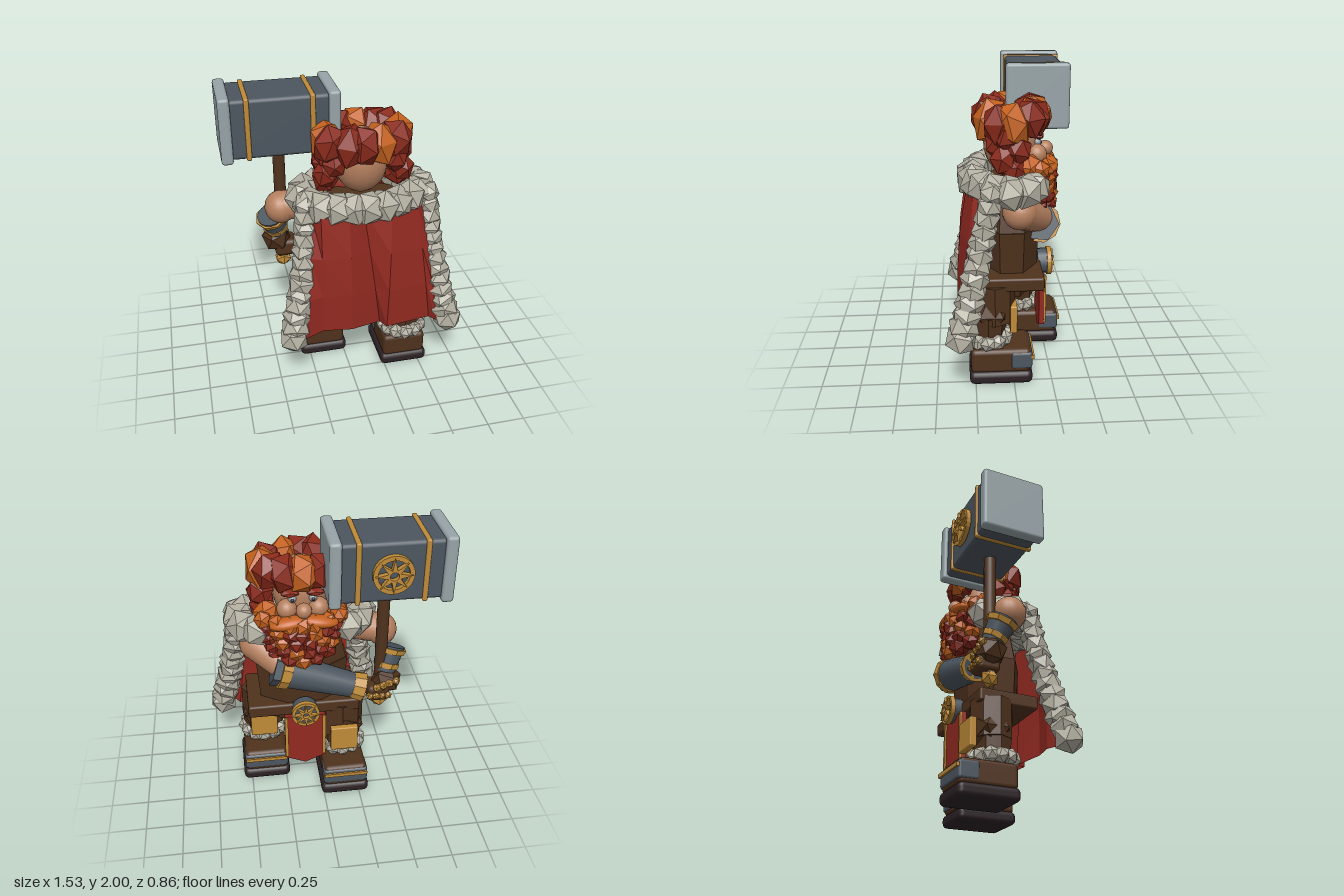
import * as THREE from 'three';
import { RoundedBoxGeometry } from 'three/addons/geometries/RoundedBoxGeometry.js';

const V = (x, y, z) => new THREE.Vector3(x, y, z);
const CX = 0.12; // body centre line

export function createModel() {
  const mat = (name, color, side = THREE.FrontSide) => {
    const m = new THREE.MeshStandardMaterial({ color, side });
    m.name = name;
    return m;
  };
  const red = mat('cloak red', 0x932a21, THREE.DoubleSide);
  const fur = mat('pale fur', 0xb3afa1);
  const steel = mat('dark steel', 0x4c5660);
  const silver = mat('light steel', 0x97a4a8);
  const gold = mat('gold', 0xbf8b38);
  const brown = mat('brown leather', 0x4f321d);
  const dark = mat('dark sole', 0x2c2124);
  const skin = mat('skin', 0xb5805f);
  const orange = mat('orange hair', 0xc4611e);
  const auburn = mat('auburn hair', 0x8a2a1b);

  const root = new THREE.Group();
  const group = (name, parent = root) => {
    const g = new THREE.Group();
    g.name = name;
    parent.add(g);
    return g;
  };
  const add = (parent, name, geo, m, x = 0, y = 0, z = 0) => {
    const mesh = new THREE.Mesh(geo, m);
    mesh.name = name;
    mesh.position.set(x, y, z);
    parent.add(mesh);
    return mesh;
  };
  const flat = (geo) => {
    const g = geo.index ? geo.toNonIndexed() : geo;
    g.computeVertexNormals();
    return g;
  };
  const box = (p, n, m, w, h, d, x, y, z) => add(p, n, new THREE.BoxGeometry(w, h, d), m, x, y, z);
  const soft = (p, n, m, w, h, d, x, y, z, r = 0.02) => add(p, n, new RoundedBoxGeometry(w, h, d, 2, r), m, x, y, z);
  const ball = (p, n, m, x, y, z, rx, ry = rx, rz = rx) => {
    const b = add(p, n, new THREE.SphereGeometry(1, 20, 14), m, x, y, z);
    b.scale.set(rx, ry, rz);
    return b;
  };
  // Tapered rod between two points
  const limb = (p, n, m, a, b, ra, rb, sides = 16) => {
    const geo = new THREE.CylinderGeometry(rb, ra, a.distanceTo(b), sides);
    const mid = a.clone().lerp(b, 0.5);
    const mesh = add(p, n, sides < 12 ? flat(geo) : geo, m, mid.x, mid.y, mid.z);
    mesh.quaternion.setFromUnitVectors(V(0, 1, 0), b.clone().sub(a).normalize());
    return mesh;
  };
  // Faceted tufts, each turned by a fixed seeded amount
  let seed = 7;
  const rnd = () => (seed = (seed * 16807) % 2147483647) / 2147483647;
  const tuft = (p, n, m, x, y, z, r, sy = 1) => {
    const t = add(p, n, new THREE.IcosahedronGeometry(r, 0), m, x, y, z);
    t.rotation.set(rnd() * 0.35, rnd() * 6.3, rnd() * 0.35);
    t.scale.y = sy;
    return t;
  };
  // Round badge: ring with an open eight-pointed star
  const badge = (p, n, r, x, y, z) => {
    const g = group(n, p);
    g.position.set(x, y, z);
    const ring = new THREE.Shape().absarc(0, 0, r, 0, Math.PI * 2);
    ring.holes.push(new THREE.Path().absarc(0, 0, r * 0.77, 0, Math.PI * 2, true));
    const star = new THREE.Shape();
    for (let i = 0; i < 16; i++) {
      const a = i * Math.PI / 8, q = r * (i % 2 ? 0.32 : 0.9);
      star[i ? 'lineTo' : 'moveTo'](Math.cos(a) * q, Math.sin(a) * q);
    }
    star.holes.push(new THREE.Path().absarc(0, 0, r * 0.22, 0, Math.PI * 2, true));
    const opt = (depth) => ({ depth, bevelEnabled: false, curveSegments: 12 });
    add(g, 'badgeRing', new THREE.ExtrudeGeometry(ring, opt(0.03)), gold, 0, 0, -0.015);
    add(g, 'badgeStar', new THREE.ExtrudeGeometry(star, opt(0.035)), gold, 0, 0, -0.03);
  };

  // War hammer
  const hammer = group('hammer');
  const HX = -0.39, HY = 1.78, HZ = -0.19;
  soft(hammer, 'hammerHead', steel, 0.64, 0.39, 0.37, HX, HY, HZ, 0.025);
  for (const s of [-1, 1]) {
    soft(hammer, 'hammerCap', silver, 0.075, 0.43, 0.42, HX + s * 0.342, HY, HZ);
    soft(hammer, 'hammerBand', gold, 0.032, 0.405, 0.39, HX + s * 0.205, HY, HZ, 0.01);
  }
  badge(hammer, 'hammerBadge', 0.125, HX, HY, -0.395);
  limb(hammer, 'handle', brown, V(HX, 0.74, HZ), V(HX, 1.62, HZ), 0.04, 0.04);
  add(hammer, 'pommel', new THREE.IcosahedronGeometry(0.06, 0), gold, HX, 0.725, HZ);

  // Legs and boots
  for (const [side, x, z] of [['left', 0.39, 0.085], ['right', -0.15, -0.145]]) {
    const leg = group(side + 'Leg');
    soft(leg, 'sole', dark, 0.335, 0.09, 0.41, x, 0.045, z, 0.035);
    soft(leg, 'boot', brown, 0.3, 0.165, 0.39, x, 0.16, z, 0.03);
    soft(leg, 'toePlate', steel, 0.31, 0.12, 0.14, x, 0.165, z - 0.133, 0.02);
    box(leg, 'toeBand', gold, 0.3, 0.026, 0.02, x, 0.19, z - 0.205);
    const shin = add(leg, 'shin', flat(new THREE.CylinderGeometry(0.15, 0.13, 0.24, 8)), brown, x, 0.34, z + 0.08);
    const thigh = add(leg, 'thigh', flat(new THREE.CylinderGeometry(0.16, 0.16, 0.26, 8)), brown, x * 0.96, 0.54, z * 0.85 + 0.05);
    const knee = add(leg, 'knee', new THREE.IcosahedronGeometry(0.17, 0), brown, x, 0.47, z + 0.06);
    shin.scale.z = thigh.scale.z = knee.scale.z = 0.85;
    for (let i = 0; i < 12; i++) {
      const a = i * Math.PI / 6;
      tuft(leg, 'bootFur', fur, x + Math.cos(a) * 0.13, 0.29, z + 0.085 + Math.sin(a) * 0.125, 0.056);
    }
    soft(leg, 'shinPlate', gold, 0.19, 0.19, 0.045, x, 0.43, z - 0.085, 0.008);
  }

  // Torso, belt and hanging cloth
  const body = group('body');
  const oct = (n, m, rt, rb, h, y, sx, sz) => {
    const t = add(body, n, flat(new THREE.CylinderGeometry(rt, rb, h, 8).rotateY(Math.PI / 8)), m, CX, y, 0.01);
    t.scale.set(sx, 1, sz);
  };
  oct('hips', brown, 0.2, 0.17, 0.14, 0.61, 1.6, 0.85);
  oct('belly', brown, 0.215, 0.2, 0.28, 0.86, 1.55, 0.95);
  oct('chest', brown, 0.17, 0.215, 0.28, 1.14, 1.5, 0.95);
  soft(body, 'belt', brown, 0.76, 0.09, 0.41, CX, 0.68, 0.01, 0.015);
  limb(body, 'buckleDisc', steel, V(CX, 0.69, -0.18), V(CX, 0.69, -0.262), 0.085, 0.085);
  badge(body, 'buckle', 0.095, CX, 0.69, -0.258);
  const cloth = new THREE.Shape([[-0.14, 0.64], [-0.14, 0.28], [0, 0.22], [0.14, 0.28], [0.14, 0.64]]
    .map(([x, y]) => new THREE.Vector2(x, y)));
  add(body, 'frontCloth', new THREE.ExtrudeGeometry(cloth, { depth: 0.035, bevelEnabled: false }), red, CX, 0, -0.22);
  for (const s of [-1, 1]) box(body, 'clothTrim', gold, 0.022, 0.34, 0.012, CX + s * 0.13, 0.465, -0.225);

  // Left arm, reaching across the body
  const leftArm = group('leftArm');
  ball(leftArm, 'shoulder', skin, 0.42, 1.14, -0.04, 0.11);
  limb(leftArm, 'upperArm', skin, V(0.42, 1.14, -0.04), V(0.25, 1.05, -0.18), 0.108, 0.1);
  const le = V(0.27, 1.02, -0.18), lw = V(-0.27, 0.85, -0.225);
  const alongL = (t) => le.clone().lerp(lw, t);
  limb(leftArm, 'gauntlet', steel, alongL(0.05), lw, 0.118, 0.08);
  limb(leftArm, 'elbowFlare', steel, alongL(-0.09), alongL(0.08), 0.125, 0.115, 6);
  limb(leftArm, 'elbowCuff', gold, alongL(0), alongL(0.11), 0.135, 0.125, 10);
  limb(leftArm, 'wristCuff', gold, alongL(0.86), alongL(1), 0.09, 0.1, 10);
  soft(leftArm, 'glove', brown, 0.15, 0.12, 0.15, -0.37, 0.82, -0.21, 0.03);

  // Right arm, gripping the handle from outside
  const rightArm = group('rightArm');
  limb(rightArm, 'upperArm', skin, V(-0.12, 1.24, 0), V(-0.4, 1.21, -0.06), 0.1, 0.1);
  ball(rightArm, 'elbow', skin, -0.41, 1.2, -0.06, 0.105, 0.11, 0.11);
  const re = V(-0.47, 1.11, -0.13), rw = V(-0.42, 0.95, -0.19);
  const alongR = (t) => re.clone().lerp(rw, t);
  limb(rightArm, 'gauntlet', steel, re, rw, 0.095, 0.07);
  limb(rightArm, 'elbowCuff', gold, alongR(0.08), alongR(0.28), 0.112, 0.102, 8);
  limb(rightArm, 'wristCuff', gold, alongR(0.65), alongR(0.85), 0.09, 0.085, 8);
  tuft(rightArm, 'glove', brown, -0.43, 0.89, -0.2, 0.105);
  for (let i = 0; i < 4; i++) {
    tuft(rightArm, 'knuckle', gold, -0.48 + i * 0.042, 0.92 - i * 0.015, -0.28, 0.03);
    tuft(leftArm, 'knuckle', gold, -0.43 + i * 0.04, 0.81, -0.28, 0.028);
  }

  // Cloak: folded panels as [top x, top z, bottom x, bottom z, bottom y]
  const folds = [[-0.31, 0.1, -0.42, 0.33, 0.42], [-0.25, 0.19, -0.33, 0.36, 0.4], [-0.2, 0.27, -0.2, 0.3, 0.4],
    [-0.02, 0.29, -0.01, 0.35, 0.42], [0.09, 0.22, 0.2, 0.28, 0.4], [0.26, 0.29, 0.23, 0.36, 0.41],
    [0.44, 0.25, 0.55, 0.3, 0.4], [0.49, 0.19, 0.59, 0.36, 0.4], [0.55, 0.1, 0.67, 0.33, 0.42]];
  const rows = 3, pts = [], idx = [];
  folds.forEach(([xt, zt, xb, zb, yb], c) => {
    for (let r = 0; r <= rows; r++) {
      const t = r / rows;
      pts.push(xt + (xb - xt) * t, 1.26 + (yb - 1.26) * t, zt + (zb - zt) * t + 0.025 * Math.sin(t * Math.PI));
      if (c && r) {
        const a = c * (rows + 1) + r, b = a - rows - 1;
        idx.push(b - 1, b, a, b - 1, a, a - 1);
      }
    }
  });
  const cape = new THREE.BufferGeometry();
  cape.setAttribute('position', new THREE.Float32BufferAttribute(pts, 3));
  cape.setIndex(idx);
  add(root, 'cloak', flat(cape), red);

  // Fur collar and cloak edging
  const furTrim = group('furTrim');
  const collar = new THREE.CatmullRomCurve3([V(-0.17, 1.3, -0.13), V(-0.25, 1.3, -0.07), V(-0.28, 1.3, 0.04),
    V(-0.2, 1.29, 0.16), V(0, 1.29, 0.235), V(0.24, 1.29, 0.235), V(0.42, 1.3, 0.16), V(0.52, 1.3, 0.04),
    V(0.49, 1.3, -0.07), V(0.41, 1.3, -0.12)]);
  collar.getSpacedPoints(14).forEach((p) => tuft(furTrim, 'collarFur', fur, p.x, p.y, p.z, 0.118));
  for (const s of [-1, 1]) {
    const edge = new THREE.CatmullRomCurve3([[0.41, 1.3, 0.14], [0.42, 1.08, 0.185], [0.455, 0.82, 0.24],
      [0.5, 0.6, 0.29], [0.54, 0.41, 0.34]].map(([x, y, z]) => V(CX + 0.01 + s * x, y, z)));
    edge.getSpacedPoints(12).forEach((p, i) => tuft(furTrim, 'edgeFur', fur, p.x, p.y, p.z, 0.084 + i * 0.0018));
  }

  // Head and face
  const head = group('head');
  ball(head, 'skull', skin, CX, 1.52, 0, 0.18, 0.22, 0.175);
  ball(head, 'nose', skin, CX, 1.475, -0.225, 0.05, 0.05, 0.05);
  for (const s of [-1, 1]) {
    const x = (d) => CX + s * d;
    ball(head, 'cheek', skin, x(0.1), 1.46, -0.16, 0.065);
    ball(head, 'eye', silver, x(0.065), 1.53, -0.165, 0.026);
    ball(head, 'pupil', dark, x(0.065), 1.53, -0.184, 0.013);
    const brow = add(head, 'eyebrow', new THREE.IcosahedronGeometry(0.05, 0), auburn, x(0.08), 1.575, -0.175);
    brow.scale.set(1.3, 0.5, 0.7);
    const lip = ball(head, 'moustache', orange, x(0.1), 1.4, -0.235, 0.12, 0.04, 0.06);
    lip.rotation.z = -s * 0.15;
  }

  // Hair: a crown of tall tufts and hanging side locks
  const hair = group('hair');
  [[-0.1, 0.08, 0], [0.02, 0.13, 0], [0.11, 0.15, 0], [0.21, 0.13, 1], [0.33, 0.08, 0], [0.36, 0, 1], [0.31, -0.1, 0],
    [0.23, -0.14, 0], [0.12, -0.16, 1], [0, -0.14, 0], [-0.09, -0.07, 0], [-0.11, 0, 1]]
    .forEach(([x, z, o], i) => tuft(hair, 'crownTuft', o ? orange : auburn, x, z < -0.06 ? 1.7 : 1.675, z,
      0.115, z < -0.06 ? 1.15 : 1.25 + (i % 2) * 0.1));
  for (const s of [-1, 1]) {
    [[0.24, 1.6, 0.04], [0.25, 1.53, -0.03], [0.25, 1.47, 0.06], [0.24, 1.41, 0], [0.2, 1.55, 0.09], [0.22, 1.4, -0.1]]
      .forEach(([x, y, z], i) => tuft(hair, 'sideLock', i === 5 ? orange : auburn, CX + 0.005 + s * x, y, z, 0.09, 1.15));
  }

  // Beard of chunky curls
  const beard = group('beard');
  for (let r = 0; r < 5; r++) {
    const n = 7 - Math.floor(r / 2), w = 0.24 - r * 0.018;
    for (let i = 0; i < n; i++) {
      const u = (i / (n - 1)) * 2 - 1;
      tuft(beard, 'curl', r < 1 ? orange : ((i + r) % 3 === 0 ? orange : auburn),
        CX + 0.01 + u * w, 1.38 - r * 0.064 + u * u * 0.02, -0.25 + u * u * 0.08, 0.064);
    }
  }
  ball(beard, 'beardCore', auburn, CX + 0.01, 1.25, -0.17, 0.2, 0.17, 0.09);
  return root;
}
